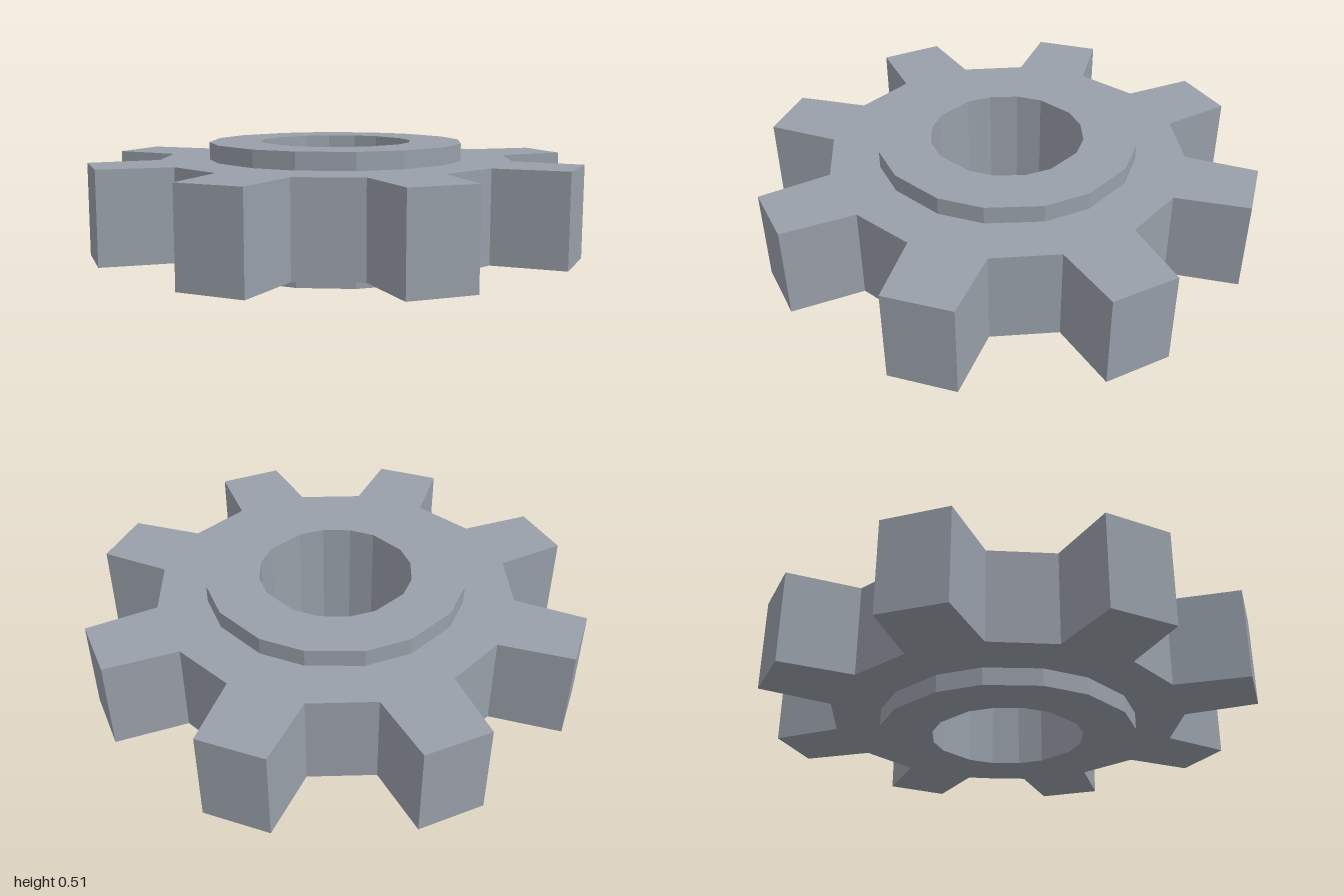
import * as THREE from 'three';

const steel = new THREE.MeshStandardMaterial({ color: 0x989fa9 });
steel.name = 'steel grey';
steel.flatShading = true;

// Ring of points: the [angle, radius] pattern repeats evenly around the y axis.
// Angles run in degrees from +z towards +x.
function ringPoints(pattern, repeats) {
  const points = [];
  for (let i = 0; i < repeats; i++) {
    for (const [degrees, radius] of pattern) {
      const a = THREE.MathUtils.degToRad(degrees + (i * 360) / repeats);
      points.push(new THREE.Vector2(radius * Math.sin(a), -radius * Math.cos(a)));
    }
  }
  return points;
}

// Upright slab from y = bottom to y = top with a hole through it
function slab(name, outline, hole, bottom, top) {
  const shape = new THREE.Shape(outline);
  shape.holes.push(new THREE.Path(hole));
  const geometry = new THREE.ExtrudeGeometry(shape, { depth: top - bottom, bevelEnabled: false });
  geometry.rotateX(-Math.PI / 2);
  geometry.translate(0, bottom, 0);
  const mesh = new THREE.Mesh(geometry, steel);
  mesh.name = name;
  return mesh;
}

export function createModel() {
  const group = new THREE.Group();
  group.name = 'gear';

  // Eight tapered teeth: root, tip, tip, root
  const teeth = ringPoints([[-12, 0.724], [-7.6, 1.009], [7.6, 1.009], [12, 0.724]], 8);
  // Slightly uneven sixteen-sided hub and bore
  const hub = ringPoints([8, 32.7, 53, 78].map((a) => [a, 0.524]), 4);
  const bore = ringPoints([9, 30.5, 50, 79.5].map((a) => [a, 0.311]), 4);

  group.add(slab('toothedWheel', teeth, hub, 0.07, 0.44));
  group.add(slab('hub', hub, bore, 0, 0.51));
  return group;
}
